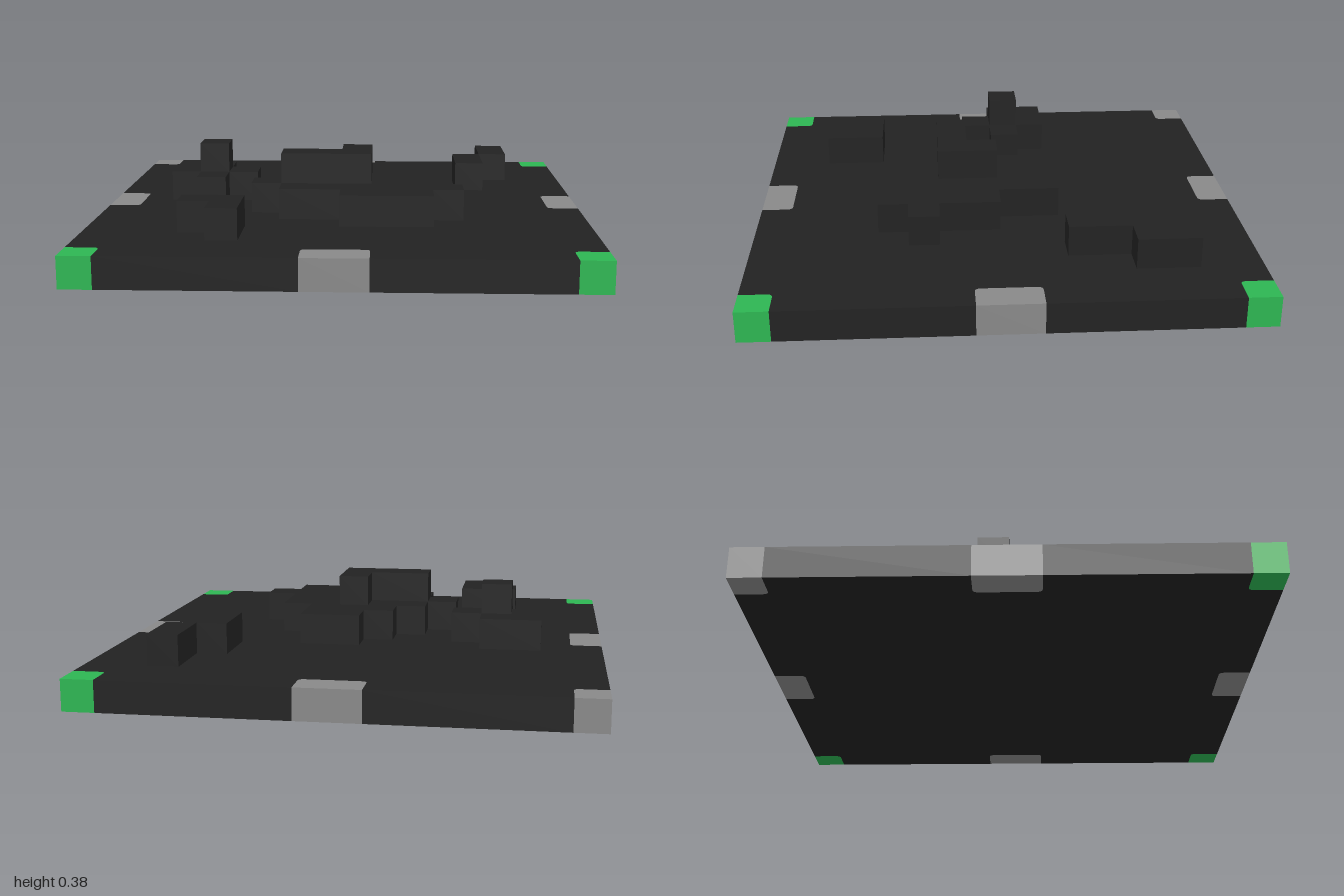
import * as THREE from 'three';

const U = 0.125;   // grid step and layer height
const M = 0.128;   // marker depth
const R = 0.022;   // rounding of the markers' inner corners

const mat = (name, color) => new THREE.MeshStandardMaterial({ name, color });

// Outline from [x, z, cornerRadius?] points; the first point stays sharp
function outline(points) {
  const shape = new THREE.Shape();
  const n = points.length;
  points.forEach(([x, z, r], i) => {
    if (i === 0) return shape.moveTo(x, -z);
    if (!r) return shape.lineTo(x, -z);
    const toward = ([px, pz]) => {
      const d = Math.hypot(px - x, pz - z);
      return [x + (px - x) * r / d, -(z + (pz - z) * r / d)];
    };
    shape.lineTo(...toward(points[i - 1]));
    shape.quadraticCurveTo(x, -z, ...toward(points[(i + 1) % n]));
  });
  shape.closePath();
  return shape;
}

// Slab of one layer height standing on the given layer
function slab(name, points, layer, material) {
  const geo = new THREE.ExtrudeGeometry(outline(points), { depth: U, bevelEnabled: false, curveSegments: 4 });
  geo.rotateX(-Math.PI / 2);
  const mesh = new THREE.Mesh(geo, material);
  mesh.name = name;
  mesh.position.y = layer * U;
  return mesh;
}

// Quarter turns about the vertical axis: front, left, back, right
function turn(points, times) {
  let out = points;
  for (let i = 0; i < times; i++) out = out.map(([x, z, r]) => [z, -x, r]);
  return out;
}

export function createModel() {
  const group = new THREE.Group();
  group.name = 'terrainTile';
  const black = mat('black', 0x222222);
  const grey = mat('grey', 0x888888);
  const green = mat('green', 0x2db552);

  // Base plate with notches for the markers, and the markers filling them
  const side = [[-1 + M, 1], [-M, 1], [-M, 1 - M, R], [M, 1 - M, R], [M, 1], [1 - M, 1], [1 - M, 1 - M, R]];
  const edge = [[-M, 1], [-M, 1 - M, R], [M, 1 - M, R], [M, 1]];
  const corner = [[1, 1], [1 - M, 1], [1 - M, 1 - M, R], [1, 1 - M]];
  const base = [];
  for (let i = 0; i < 4; i++) {
    base.push(...turn(side, i));
    group.add(slab('edgeMarker', turn(edge, i), 0, grey));
    group.add(slab('cornerMarker', turn(corner, i), 0, i === 2 ? grey : green));
  }
  group.add(slab('basePlate', base, 0, black));

  // Raised blocks: name, layer, outline in grid steps
  const blocks = [
    ['centralMound', 1, [[0, -2], [2, -2], [2, 0], [3, 0], [3, 2], [4, 2], [4, 3], [3, 3], [3, 4], [0, 4],
      [0, 3], [-2, 3], [-2, 2], [-3, 2], [-3, 1], [-2, 1], [-2, 0], [-1, 0], [-1, -1], [0, -1]]],
    ['centralMoundTop', 2, [[0, 0], [1, 0], [1, 2], [-2, 2], [-2, 1], [0, 1]]],
    ['sideMound', 1, [[-6, -2], [-4, -2], [-4, -1], [-3, -1], [-3, 0], [-4, 0], [-4, 1], [-5, 1], [-5, 0], [-6, 0]]],
    ['sideMoundTop', 2, [[-5, -1], [-4, -1], [-4, 0], [-5, 0]]],
    ['frontBlock', 1, [[-5, 4], [-3, 4], [-3, 6], [-4, 6], [-4, 5], [-5, 5]]],
    ['backBlockOuter', 1, [[5, -6], [6, -6], [6, -4], [5, -4]]],
    ['backBlockInner', 1, [[4, -4], [5, -4], [5, -2], [4, -2]]],
  ];
  for (const [name, layer, cells] of blocks) {
    group.add(slab(name, cells.map(([x, z]) => [x * U, z * U]), layer, black));
  }
  return group;
}
